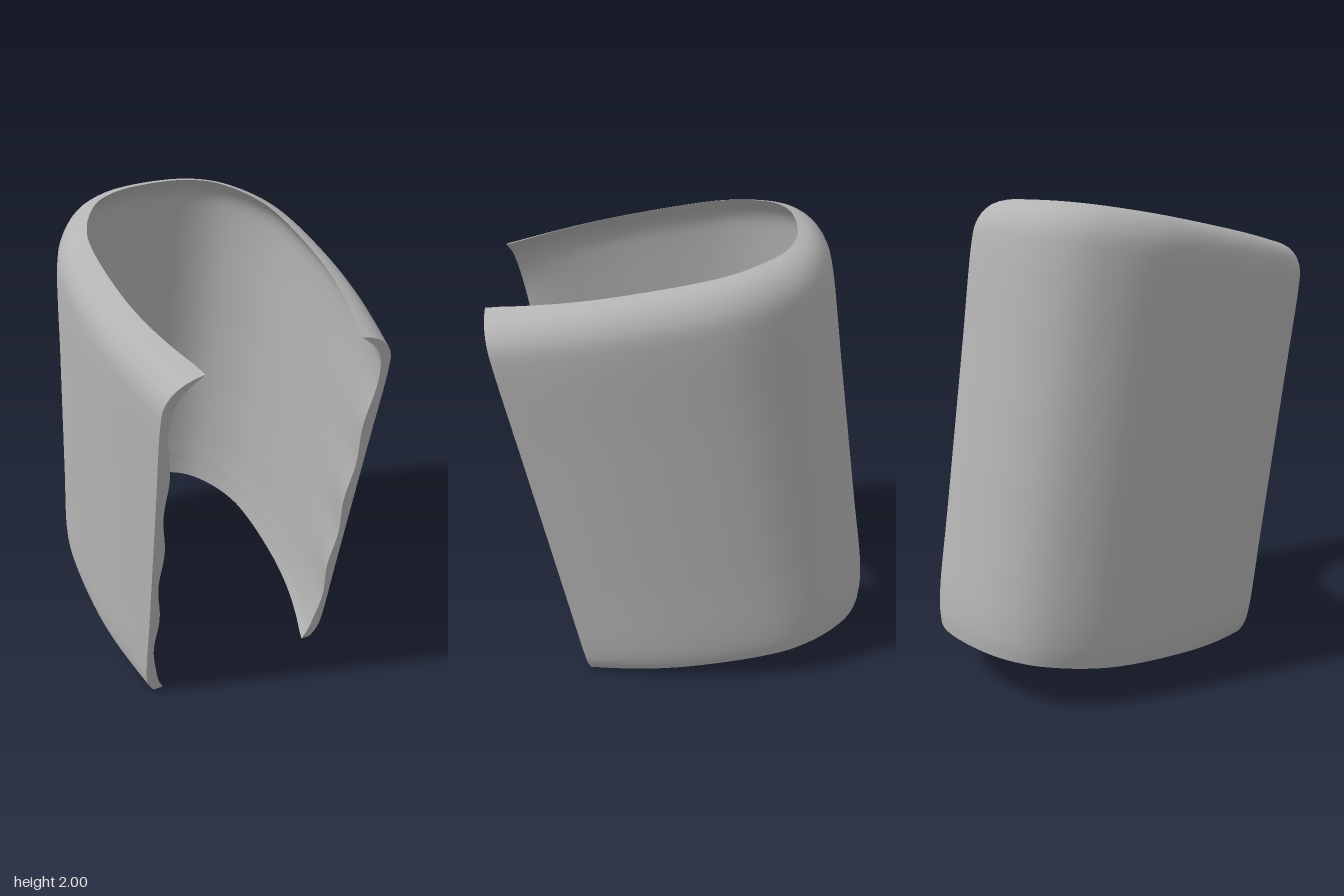
import * as THREE from 'three';

const HEIGHT = 1.817;
const TILT = 0.171;
const V = (x, y, z) => new THREE.Vector3(x, y, z);
const { clamp, lerp } = THREE.MathUtils;

// Evenly spaced points on a smooth curve through [a, b] pairs
const smooth = (pairs, n) =>
  new THREE.CatmullRomCurve3(pairs.map(([a, b]) => V(a, b, 0))).getSpacedPoints(n);

// Surface through rows of points
function surface(rows) {
  const n = rows[0].length;
  const index = [];
  for (let i = 0; i < rows.length - 1; i++) {
    for (let j = 0; j < n - 1; j++) {
      const a = i * n + j, b = a + 1, d = a + n, c = d + 1;
      index.push(a, b, c, a, c, d);
    }
  }
  const geo = new THREE.BufferGeometry().setFromPoints(rows.flat());
  geo.setIndex(index);
  geo.computeVertexNormals();
  return geo;
}

export function createModel() {
  const grey = new THREE.MeshStandardMaterial({ color: 0xb4b4b4, side: THREE.DoubleSide });
  grey.name = 'grey';

  // U-shaped plan, half as [x, z] from the open front to the middle of the back
  const half = [[0.457, 0], [0.477, -0.1], [0.51, -0.3], [0.526, -0.5], [0.521, -0.8],
    [0.497, -0.95], [0.432, -1.1], [0.33, -1.225], [0.19, -1.297]];
  const plan = smooth([...half, [0, -1.32], ...half.map(([x, z]) => [-x, z]).reverse()], 96);

  // Inward normals of the plan; the open ends stay flat
  const inward = plan.map((p, j) => {
    if (j === 0) return V(-1, 0, 0);
    if (j === plan.length - 1) return V(1, 0, 0);
    const t = plan[j + 1].clone().sub(plan[j - 1]).normalize();
    return V(t.y, -t.x, 0).multiplyScalar(1);
  });

  // Wall profiles as [inset, height], bottom to top, with a lip rolled inward
  const outer = smooth([[0.03, 0], [0.01, 0.05], [0, 0.13], [0, 0.5], [0, 1.2], [0, HEIGHT - 0.18],
    [0.008, HEIGHT - 0.11], [0.035, HEIGHT - 0.055], [0.075, HEIGHT - 0.018], [0.12, HEIGHT]], 64);
  const inner = smooth([[0.064, 0], [0.045, 0.08], [0.036, 0.18], [0.037, 0.5], [0.042, 1.2],
    [0.042, HEIGHT - 0.18], [0.048, HEIGHT - 0.11], [0.066, HEIGHT - 0.065],
    [0.09, HEIGHT - 0.035], [0.12, HEIGHT]], 64);

  // One ring around the plan at a profile point
  function ring({ x: inset, y: v }, ripple) {
    const h = clamp(v / HEIGHT, 0, 1);
    const top = clamp((v - HEIGHT + 0.15) / 0.15, 0, 1);
    const bottom = clamp(1 - v / 0.15, 0, 1);
    return plan.map((p, j) => {
      const front = Math.exp(p.y * 4);
      const k = lerp(1, lerp(1, 1.3, front), top) * lerp(1, lerp(0.6, 1.3, front), bottom);
      const wave = ripple * 0.008 * Math.sin(v * 15) * Math.exp(p.y * 8) * (1 - top) * (1 - bottom);
      const d = inset * k + wave;
      return V(p.x * lerp(0.965, 1.012, h) + inward[j].x * d, v,
        p.y * lerp(0.992, 1.01, h) + inward[j].y * d);
    });
  }

  const outerRows = outer.map((p) => ring(p, 0));
  const innerRows = inner.map((p) => ring(p, 1));
  const last = plan.length - 1;
  const column = (rows, j) => rows.map((r) => r[j].clone());

  const group = new THREE.Group();
  group.name = 'sleeve';
  const body = new THREE.Group();
  body.name = 'tiltedShell';
  const add = (name, rows) => {
    const mesh = new THREE.Mesh(surface(rows), grey);
    mesh.name = name;
    body.add(mesh);
  };

  add('outerWall', outerRows);
  add('innerWall', [...innerRows].reverse());
  add('bottomRim', [innerRows[0], outerRows[0]]);
  add('leftFrontEdge', [column(outerRows, 0), column(innerRows, 0)]);
  add('rightFrontEdge', [column(innerRows, last), column(outerRows, last)]);

  // Lean the shell forward with its front corner on the ground
  body.rotation.x = TILT;
  body.position.z = 0.49;
  group.add(body);
  return group;
}
